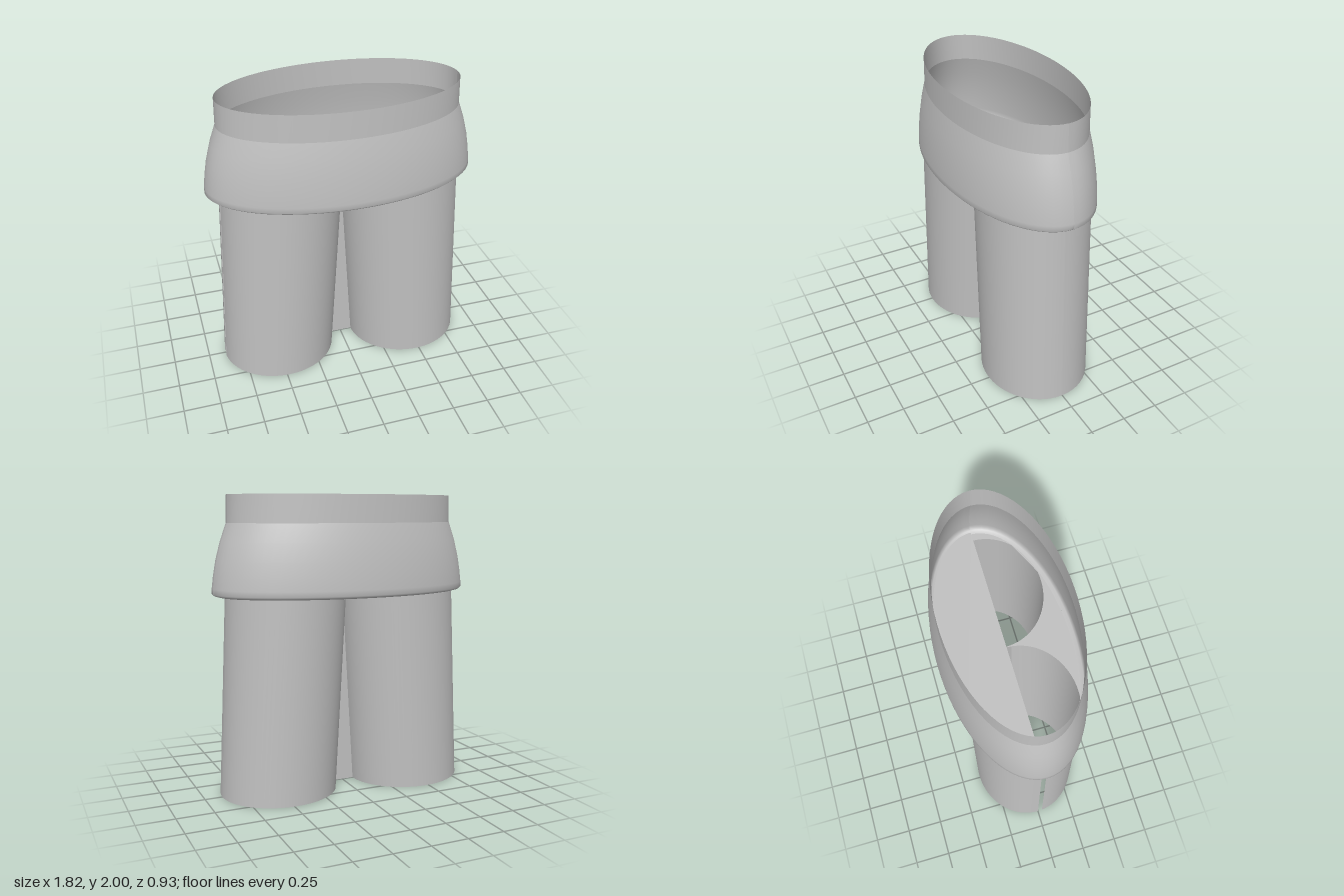
import * as THREE from 'three';

const cloth = new THREE.MeshStandardMaterial({ color: 0xc0c0c0, side: THREE.DoubleSide });
cloth.name = 'grey cloth';

// Skin through elliptical rows [y, centreX, radiusX, radiusZ], listed upward, over an arc
function loft(rows, from = 0, to = Math.PI * 2, segments = 72) {
  const positions = [], index = [], stride = segments + 1;
  rows.forEach(([y, cx, rx, rz], r) => {
    for (let i = 0; i <= segments; i++) {
      const a = from + (to - from) * i / segments;
      positions.push(cx + rx * Math.cos(a), y, rz * Math.sin(a));
      if (r < rows.length - 1 && i < segments) {
        const p = r * stride + i, q = p + stride;
        index.push(p, q, p + 1, q, q + 1, p + 1);
      }
    }
  });
  const geometry = new THREE.BufferGeometry();
  geometry.setAttribute('position', new THREE.Float32BufferAttribute(positions, 3));
  geometry.setIndex(index);
  geometry.computeVertexNormals();
  return geometry;
}

export function createModel() {
  const model = new THREE.Group();
  model.name = 'trousers';
  const add = (name, geometry) => {
    const mesh = new THREE.Mesh(geometry, cloth);
    mesh.name = name;
    model.add(mesh);
    return mesh;
  };

  // Straight waistband and flared hips with a rolled lower lip
  add('waistband', loft([[1.82, 0, 0.805, 0.415], [2, 0, 0.8, 0.412]]));
  add('hips', loft([
    [1.345, 0, 0.87, 0.43], [1.352, 0, 0.895, 0.455], [1.365, 0, 0.91, 0.466],
    [1.4, 0, 0.908, 0.466], [1.48, 0, 0.898, 0.462], [1.58, 0, 0.88, 0.453],
    [1.7, 0, 0.848, 0.438], [1.82, 0, 0.805, 0.415],
  ]));

  // Underside of the hips with an opening for each leg
  const under = new THREE.Shape();
  under.absellipse(0, 0, 0.87, 0.43, 0, Math.PI * 2);
  for (const side of [-1, 1]) {
    const hole = new THREE.Path();
    hole.absellipse(side * 0.411, 0, 0.408, 0.36, 0, Math.PI * 2, true);
    under.holes.push(hole);
  }
  add('hipUnderside', new THREE.ShapeGeometry(under, 48).rotateX(Math.PI / 2)).position.y = 1.345;

  // Legs in front and back halves, with narrow open seams on the right leg
  for (const side of [-1, 1]) {
    const label = side > 0 ? 'left' : 'right';
    const rows = [[0, side * 0.482, 0.4, 0.362], [1.345, side * 0.411, 0.408, 0.362]];
    const gap = side < 0 ? 0.09 : 0;
    add(label + 'LegFront', loft(rows, gap, Math.PI - gap, 40));
    add(label + 'LegBack', loft(rows, Math.PI, Math.PI * 2, 40));
  }

  // Upright lining between the front and back halves
  const lining = new THREE.Shape();
  lining.moveTo(-0.88, 0);
  lining.lineTo(0.88, 0);
  lining.lineTo(0.818, 1.345);
  lining.lineTo(-0.818, 1.345);
  add('lining', new THREE.ShapeGeometry(lining));

  // Flat panel closing the rear half inside the hips
  const seat = new THREE.Shape();
  seat.absellipse(0, 0, 0.88, 0.44, 0, Math.PI);
  add('seatPanel', new THREE.ShapeGeometry(seat, 48).rotateX(-Math.PI / 2)).position.y = 1.352;

  return model;
}
